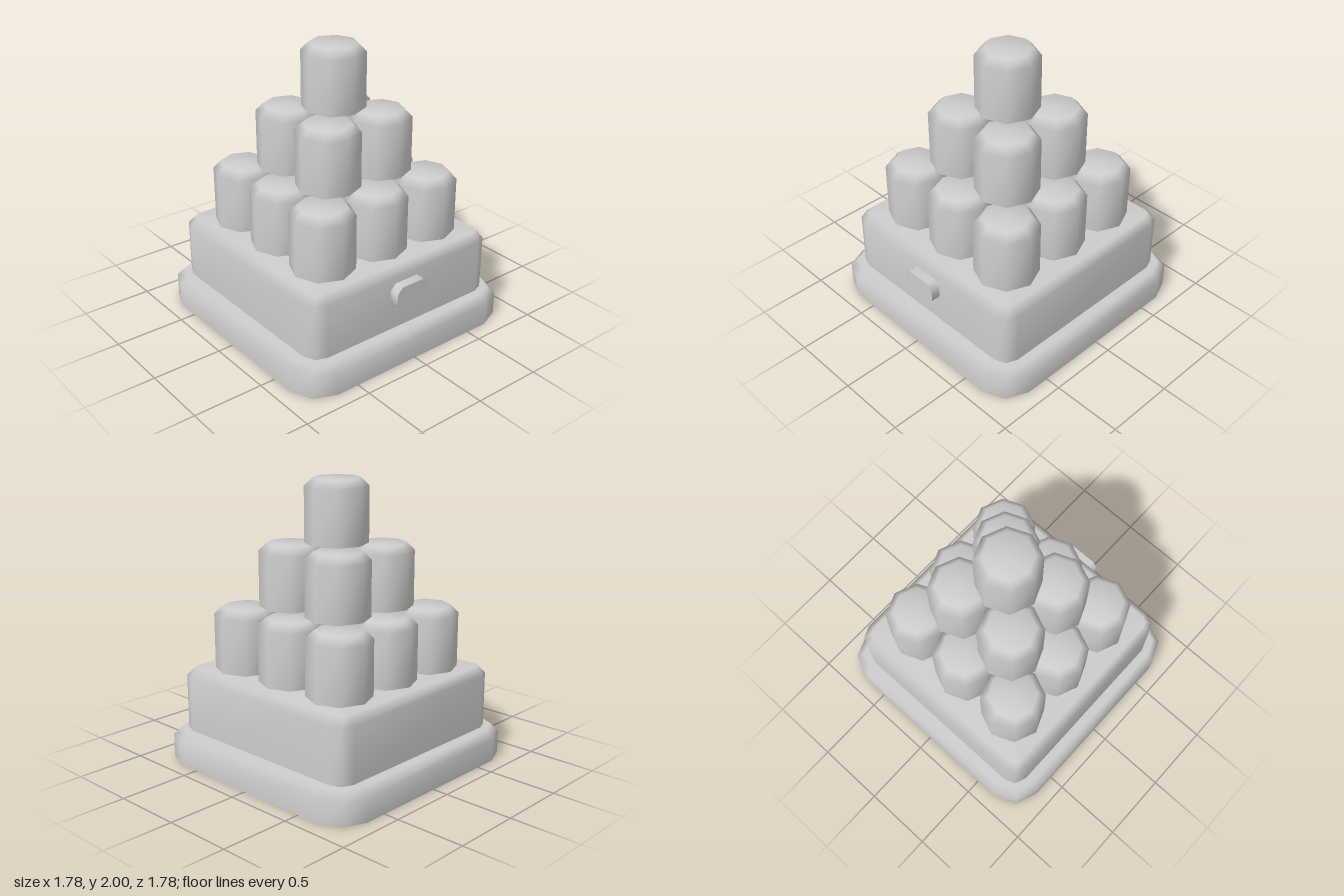
import * as THREE from 'three';

const grey = new THREE.MeshStandardMaterial({ color: 0xcccccc });
grey.name = 'plain grey';

// Rectangle outline with rounded corners, counter-clockwise seen from above
function roundedRect(hx, hz, r, segments) {
  const points = [];
  for (let q = 0; q < 4; q++) {
    const sx = q === 0 || q === 3 ? 1 : -1;
    const sz = q < 2 ? -1 : 1;
    for (let s = 0; s <= segments; s++) {
      const a = (q + s / segments) * Math.PI / 2;
      points.push([sx * (hx - r) + r * Math.cos(a), sz * (hz - r) - r * Math.sin(a)]);
    }
  }
  return points;
}

function octagon(r) {
  return Array.from({ length: 8 }, (_, i) => {
    const a = i * Math.PI / 4;
    return [r * Math.cos(a), -r * Math.sin(a)];
  });
}

// Joins stacked [height, outline] rings; the top cap may share the wall's smooth normals
function loft(rings, smoothTop = true) {
  const positions = [], index = [];
  const n = rings[0][1].length;
  const addRing = ([y, outline]) => {
    const start = positions.length / 3;
    outline.forEach(([x, z]) => positions.push(x, y, z));
    return start;
  };
  const addCap = (ring, start, up) => {
    const centre = positions.length / 3;
    positions.push(0, ring[0], 0);
    for (let i = 0; i < n; i++) {
      const a = start + i, b = start + (i + 1) % n;
      index.push(centre, up ? a : b, up ? b : a);
    }
  };
  const starts = rings.map(addRing);
  for (let k = 0; k + 1 < rings.length; k++) {
    for (let i = 0; i < n; i++) {
      const j = (i + 1) % n, lo = starts[k], hi = starts[k + 1];
      index.push(lo + i, lo + j, hi + j, lo + i, hi + j, hi + i);
    }
  }
  const top = rings[rings.length - 1];
  addCap(top, smoothTop ? starts[starts.length - 1] : addRing(top), true);
  addCap(rings[0], addRing(rings[0]), false);
  const geometry = new THREE.BufferGeometry();
  geometry.setAttribute('position', new THREE.Float32BufferAttribute(positions, 3));
  geometry.setIndex(index);
  geometry.computeVertexNormals();
  return geometry;
}

export function createModel() {
  const model = new THREE.Group();
  model.name = 'steppedPyramid';
  const bevel = 0.0556;

  const add = (name, geometry, x = 0, y = 0, z = 0) => {
    const mesh = new THREE.Mesh(geometry, grey);
    mesh.name = name;
    mesh.position.set(x, y, z);
    model.add(mesh);
  };

  // Two bevelled slabs
  const slab = (half, r, y0, y1) => loft([
    [y0, roundedRect(half, half, r, 2)],
    [y1 - bevel, roundedRect(half, half, r, 2)],
    [y1, roundedRect(half - bevel, half - bevel, r - bevel, 2)],
  ]);
  add('basePlate', slab(0.889, 0.222, 0, 0.222));
  add('bodyBlock', slab(0.778, 0.111, 0.222, 0.667));

  // Small button on the front wall
  const plate = roundedRect(0.136, 0.083, 0.042, 1);
  const button = loft([[0, plate], [0.077, plate]], false).rotateX(Math.PI / 2);
  add('frontButton', button, 0, 0.48, 0.77);

  // Pyramid of eight-sided studs: 3 x 3, 2 x 2, then one
  const r = 0.2222, height = 0.4444;
  const stud = loft([
    [0, octagon(r)],
    [height - bevel, octagon(r)],
    [height, octagon(r - bevel)],
  ]);
  for (let level = 0; level < 3; level++) {
    const count = 3 - level;
    for (let i = 0; i < count; i++) {
      for (let j = 0; j < count; j++) {
        const offset = (k) => (k - (count - 1) / 2) * 2 * r;
        add('stud', stud, offset(i), 0.6667 + level * height, offset(j));
      }
    }
  }
  return model;
}
